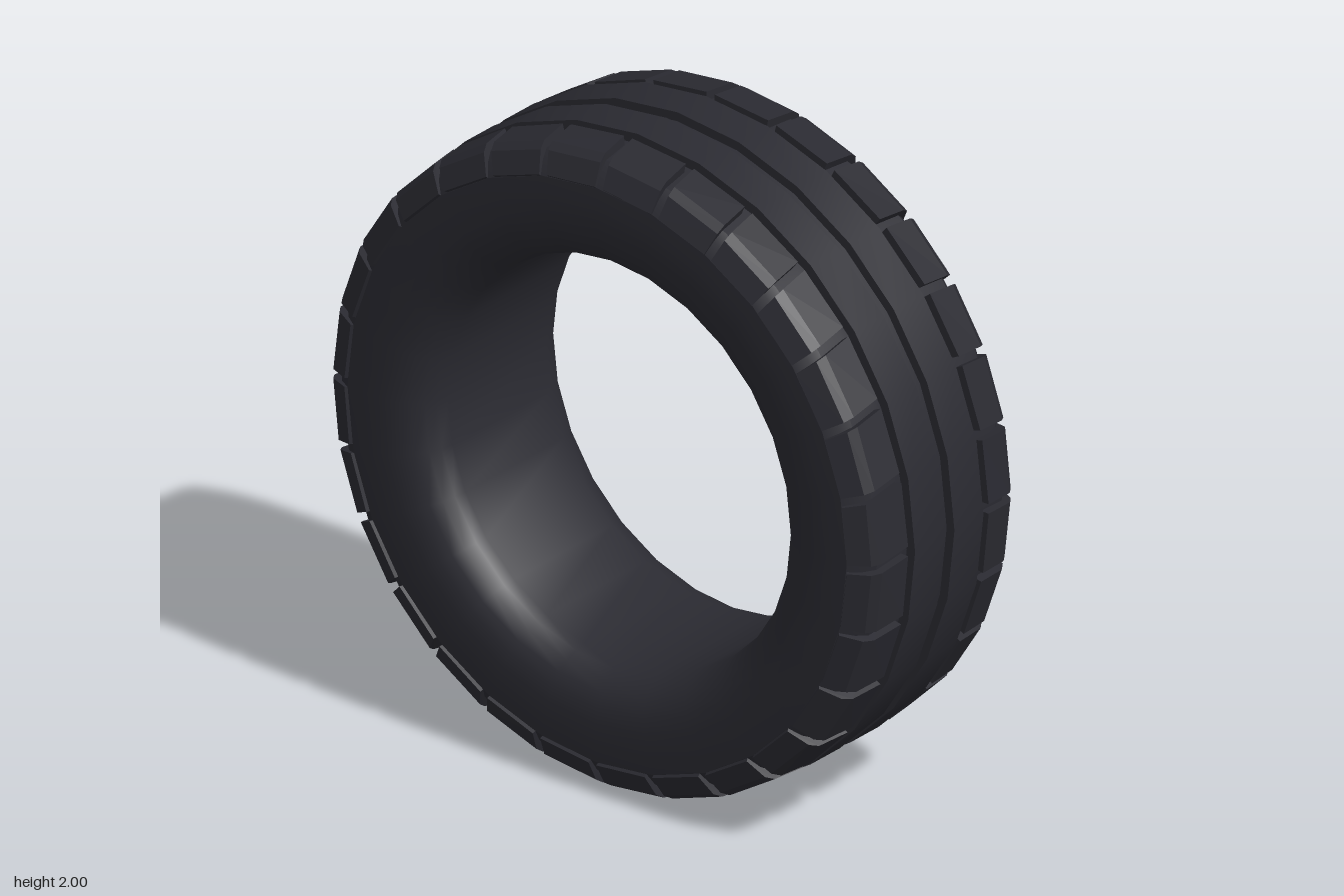
import * as THREE from 'three';
import { toCreasedNormals } from 'three/addons/utils/BufferGeometryUtils.js';

const SEGMENTS = 28;
const STEP = (Math.PI * 2) / SEGMENTS;

// Half cross-section as [radius, z], from the centre groove out to the bead
const HALF = [
  [0.972, 0.023], [1.0, 0.023], [1.0, 0.153], [0.97, 0.153], [0.97, 0.18],
  [0.965, 0.28], [0.94, 0.31], [0.9, 0.335], [0.85, 0.338], [0.78, 0.338],
  [0.73, 0.331], [0.69, 0.314], [0.66, 0.287], [0.64, 0.255], [0.63, 0.22],
];

// Shoulder block cross-section as [radius, z]
const BLOCK = [
  [0.93, 0.18], [0.997, 0.18], [0.988, 0.285], [0.97, 0.312],
  [0.906, 0.342], [0.896, 0.33],
];

function carcassGeometry() {
  const back = HALF.map(([r, z]) => [r, -z]).reverse();
  const loop = [...back, ...HALF, back[0]];
  const geometry = new THREE.LatheGeometry(loop.map(([r, z]) => new THREE.Vector2(r, z)), SEGMENTS);
  geometry.rotateX(Math.PI / 2);
  return toCreasedNormals(geometry, 0.45);
}

// Sweeps the block section through a small angle, with slanted ends
function blockGeometry(side, slant) {
  const shape = new THREE.Shape(BLOCK.map(([r, z]) => new THREE.Vector2(r, z * side)));
  const geometry = new THREE.ExtrudeGeometry(shape, { depth: 1, bevelEnabled: false, steps: 1 });
  const p = geometry.attributes.position;
  const sweep = STEP - 0.03;
  for (let i = 0; i < p.count; i++) {
    const r = p.getX(i), z = p.getY(i);
    const lean = slant * (Math.abs(z) - 0.26) / 0.16;
    const a = STEP / 2 + sweep * (0.5 - p.getZ(i)) - lean;
    p.setXYZ(i, r * Math.cos(a), r * Math.sin(a), z);
  }
  geometry.computeVertexNormals();
  return geometry;
}

export function createModel() {
  const rubber = new THREE.MeshStandardMaterial({ color: 0x2a2a31 });
  rubber.name = 'dark rubber';

  const tyre = new THREE.Group();
  tyre.name = 'tyre';
  tyre.position.y = 1;

  const carcass = new THREE.Mesh(carcassGeometry(), rubber);
  carcass.name = 'carcass';
  tyre.add(carcass);

  // Shoulder tread blocks, one ring on each side
  for (const [name, side, slant] of [['frontTreadBlocks', 1, 0.025], ['backTreadBlocks', -1, 0.012]]) {
    const ring = new THREE.Group();
    ring.name = name;
    const geometry = blockGeometry(side, slant);
    for (let i = 0; i < SEGMENTS; i++) {
      const block = new THREE.Mesh(geometry, rubber);
      block.name = 'treadBlock';
      block.rotation.z = i * STEP;
      ring.add(block);
    }
    tyre.add(ring);
  }

  // Raised bars on the back sidewall: [count, start, end] in degrees from +x
  const bars = new THREE.Group();
  bars.name = 'sidewallBars';
  const barGeometry = new THREE.BoxGeometry(0.075, 0.027, 0.009);
  for (const [count, start, end] of [[17, 65, 115], [4, 237, 247], [9, 255, 279], [6, 285, 303]]) {
    for (let i = 0; i < count; i++) {
      const a = THREE.MathUtils.degToRad(start + ((end - start) * i) / (count - 1));
      const bar = new THREE.Mesh(barGeometry, rubber);
      bar.name = 'sidewallBar';
      bar.position.set(0.823 * Math.cos(a), 0.823 * Math.sin(a), -0.3415);
      bar.rotation.z = a;
      bars.add(bar);
    }
  }
  tyre.add(bars);

  const model = new THREE.Group();
  model.add(tyre);
  return model;
}
